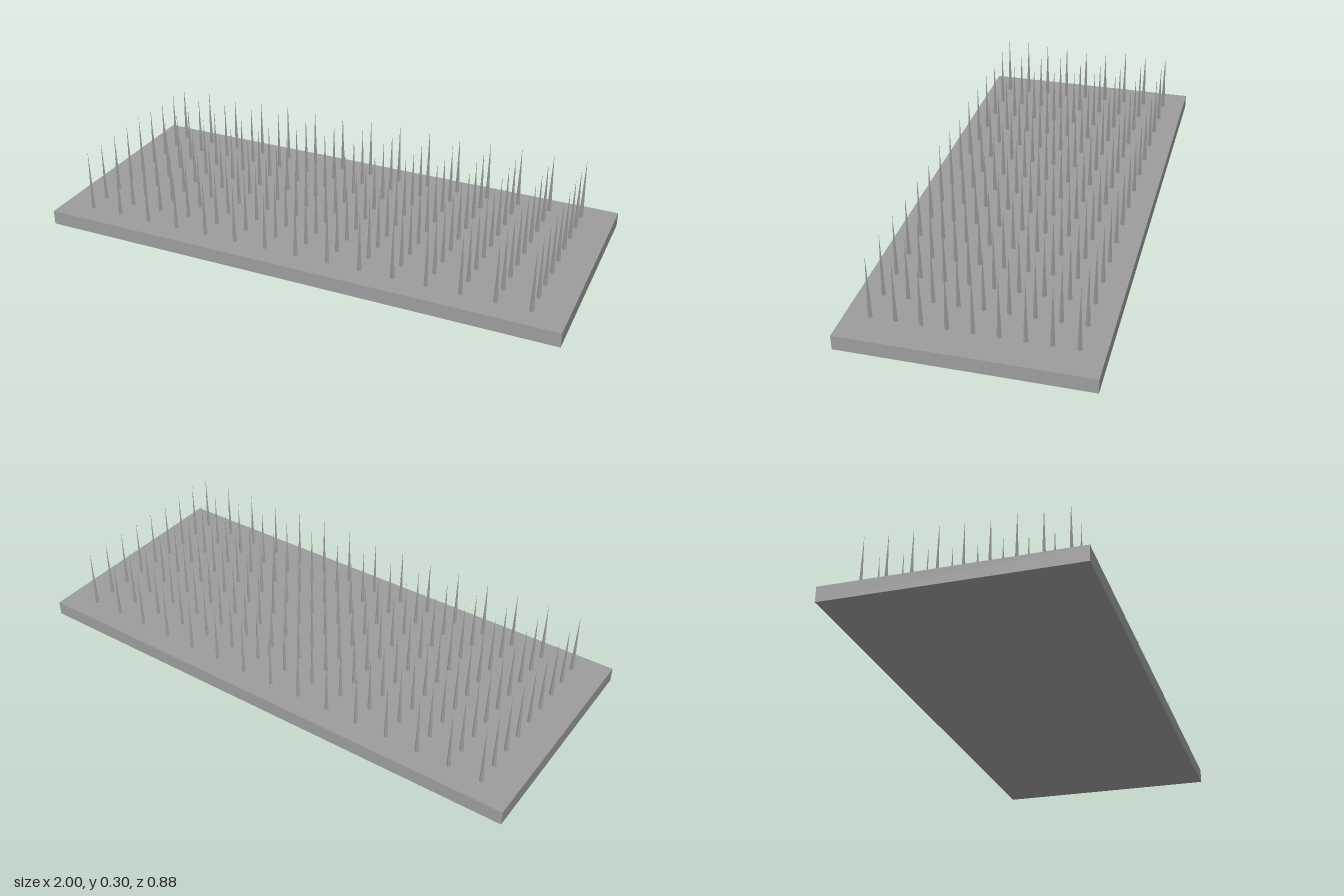
import * as THREE from 'three';

export function createModel() {
  const model = new THREE.Group();
  model.name = 'spikeBoard';
  const material = new THREE.MeshStandardMaterial({ color: 0x9c9c9c, flatShading: true });

  // Flat rectangular board
  const thickness = 0.055;
  const board = new THREE.Mesh(new THREE.BoxGeometry(2, thickness, 0.88), material);
  board.name = 'board';
  board.position.y = thickness / 2;
  model.add(board);

  // Regular grid of slender four-sided spikes
  const spikes = new THREE.Group();
  spikes.name = 'spikes';
  const columns = 15, rows = 9, pitchX = 0.125, pitchZ = 0.088, height = 0.243;
  const spikeGeometry = new THREE.ConeGeometry(0.0085, height, 4);
  spikeGeometry.translate(0, thickness + height / 2, 0);
  for (let i = 0; i < columns; i++) {
    for (let j = 0; j < rows; j++) {
      const spike = new THREE.Mesh(spikeGeometry, material);
      spike.name = 'spike';
      spike.position.set((i - (columns - 1) / 2) * pitchX, 0, (j - (rows - 1) / 2) * pitchZ);
      spikes.add(spike);
    }
  }
  model.add(spikes);
  return model;
}
